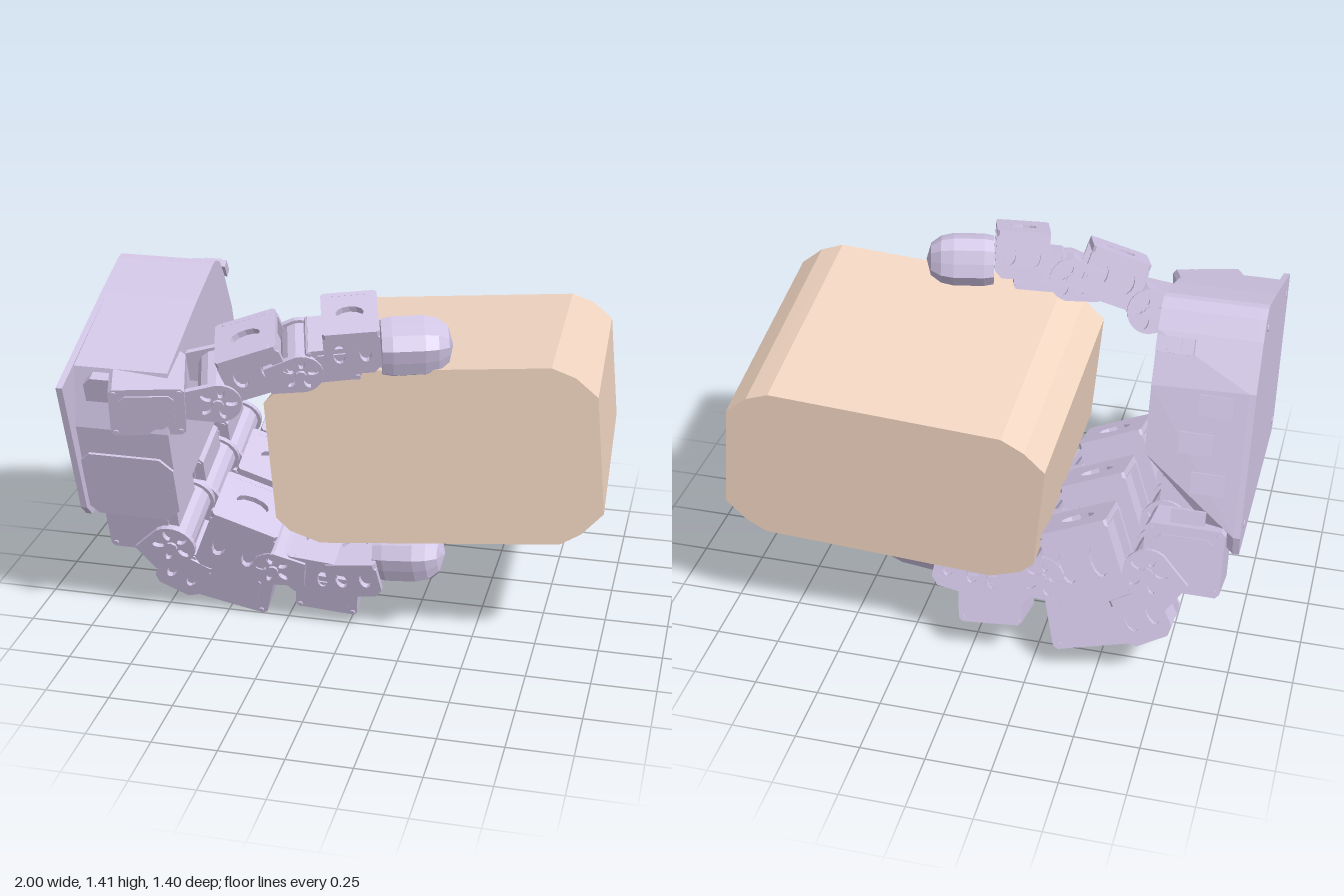
import * as THREE from 'three';
import { ConvexGeometry } from 'three/addons/geometries/ConvexGeometry.js';

const shell = new THREE.MeshStandardMaterial({ color: 0xd2c6e6, flatShading: true });
const tan = new THREE.MeshStandardMaterial({ color: 0xf2d6c2, flatShading: true });

function add(parent, name, geometry, material = shell) {
  const mesh = new THREE.Mesh(geometry, material);
  mesh.name = name;
  parent.add(mesh);
  return mesh;
}

function place(mesh, x, y, z = 0, rot = 0) {
  mesh.position.set(x, y, z);
  mesh.rotation.z = rot;
  return mesh;
}

// Rectangle with cut corners
function cutRect(w, h, c) {
  const a = w / 2, b = h / 2;
  return new THREE.Shape([[-a + c, -b], [a - c, -b], [a, -b + c], [a, b - c], [a - c, b],
    [-a + c, b], [-a, b - c], [-a, -b + c]].map(([x, y]) => new THREE.Vector2(x, y)));
}

// Solid extruded along z and centred on it
function slab(shape, depth) {
  return new THREE.ExtrudeGeometry(shape, { depth, bevelEnabled: false, curveSegments: 6 })
    .translate(0, 0, -depth / 2);
}

// Servo housing with a raised cover and screw heads on both sides
function motor(parent, name, x, y, w, h, d, rot = 0, z = 0) {
  const g = place(new THREE.Group(), x, y, z, rot);
  g.name = name;
  parent.add(g);
  add(g, 'housing', slab(cutRect(w, h, 0.015), d));
  add(g, 'cover', slab(cutRect(w * 0.72, h * 0.72, 0.02), d + 0.012));
  for (const sx of [-1, 1]) for (const sy of [-1, 1]) {
    const screw = add(g, 'screw', new THREE.CylinderGeometry(0.011, 0.011, d + 0.012, 8).rotateX(Math.PI / 2));
    screw.position.set(sx * w * 0.43, sy * h * 0.42, 0);
  }
}

// U-shaped bracket: two slotted side plates, a pierced web, and an inner core
function bracket(parent, name, x, y, w, h, d, rot = 0) {
  const g = place(new THREE.Group(), x, y, 0, rot);
  g.name = name;
  parent.add(g);
  const side = cutRect(w, h, 0.03);
  for (const s of [-1, 1]) {
    const slot = new THREE.Path();
    slot.absellipse(s * w * 0.23, 0, w * 0.11, h * 0.22, 0, Math.PI * 2);
    side.holes.push(slot);
  }
  for (const s of [-1, 1]) add(g, 'sidePlate', slab(side, 0.022)).position.z = s * (d / 2 - 0.011);
  const web = cutRect(w, d, 0.01);
  const hole = new THREE.Path();
  hole.absellipse(0, 0, w * 0.25, d * 0.15, 0, Math.PI * 2);
  web.holes.push(hole);
  add(g, 'web', slab(web, 0.025).rotateX(Math.PI / 2)).position.y = h / 2 - 0.013;
  add(g, 'core', new THREE.BoxGeometry(w * 0.8, h * 0.75, d * 0.7)).position.y = -h * 0.06;
}

// Pivot with a slotted horn at each end; its tail points along -x
function knuckle(parent, x, y, r, d, rot = 0) {
  const g = place(new THREE.Group(), x, y, 0, rot);
  g.name = 'knuckle';
  parent.add(g);
  add(g, 'axle', new THREE.CylinderGeometry(r * 0.85, r * 0.85, d - 0.04, 14).rotateX(Math.PI / 2));
  const horn = new THREE.Shape();
  horn.moveTo(-r * 1.5, -r * 0.7);
  horn.lineTo(0, -r);
  horn.absarc(0, 0, r, -Math.PI / 2, Math.PI / 2);
  horn.lineTo(-r * 1.5, r * 0.7);
  for (let i = 0; i < 5; i++) {
    const a = i * Math.PI * 0.4, hole = new THREE.Path();
    hole.absellipse(Math.cos(a) * r * 0.58, Math.sin(a) * r * 0.58, r * 0.26, r * 0.14, 0, Math.PI * 2, false, a);
    horn.holes.push(hole);
  }
  for (const s of [-1, 1]) {
    add(g, 'horn', slab(horn, 0.02)).position.z = s * (d / 2 - 0.01);
    add(g, 'hub', new THREE.CylinderGeometry(r * 0.25, r * 0.25, 0.03, 8).rotateX(Math.PI / 2))
      .position.z = s * (d / 2 - 0.005);
  }
}

// Faceted rubber fingertip along +x: a turned shape squared off towards its corners
function fingertip(parent, x, y, rot, z = 0) {
  const profile = [[0, 0], [0.09, 0], [0.097, 0.04], [0.097, 0.16], [0.087, 0.21], [0.06, 0.25], [0, 0.268]]
    .map(([r, h]) => new THREE.Vector2(r, h));
  const geo = new THREE.LatheGeometry(profile, 12).rotateZ(-Math.PI / 2);
  const p = geo.attributes.position;
  for (let i = 0; i < p.count; i++) {
    const a = Math.atan2(p.getZ(i), p.getY(i));
    const k = (Math.cos(a) ** 4 + Math.sin(a) ** 4) ** -0.25;
    p.setXYZ(i, p.getX(i), p.getY(i) * k, p.getZ(i) * k * 1.1);
  }
  place(add(parent, 'fingertip', geo), x, y, z, rot);
}

// Lower finger; its heights are measured from its pivot
function finger(z, lift) {
  const g = new THREE.Group();
  g.name = 'finger';
  g.position.set(0, 0.35 + lift, z);
  g.rotation.x = 0.3;
  motor(g, 'baseMotor', -0.8, 0.11, 0.3, 0.26, 0.22);
  knuckle(g, -0.68, 0.05, 0.095, 0.3, 0.6);
  bracket(g, 'baseBracket', -0.67, -0.14, 0.19, 0.2, 0.23, -0.5);
  motor(g, 'proximalMotor', -0.49, -0.18, 0.36, 0.22, 0.2, -0.25);
  bracket(g, 'proximalBracket', -0.43, 0.04, 0.27, 0.3, 0.25, -0.38);
  knuckle(g, -0.28, -0.04, 0.085, 0.26, Math.PI - 0.1);
  bracket(g, 'middleBracket', -0.13, -0.07, 0.2, 0.19, 0.24, -0.1);
  motor(g, 'distalMotor', -0.08, -0.17, 0.25, 0.19, 0.21, -0.08);
  bracket(g, 'distalBracket', 0.04, -0.06, 0.21, 0.17, 0.25, 0.15);
  fingertip(g, 0.12, -0.01, 0.1);
  return g;
}

// Opposing thumb above the block
function thumb() {
  const g = new THREE.Group();
  g.name = 'thumb';
  g.position.set(-0.1, 1.22, 0.345);
  g.rotation.set(0.3, 0.27, 0, 'YXZ');
  motor(g, 'baseMotor', -0.63, -0.16, 0.28, 0.22, 0.22, 0, 0.055);
  knuckle(g, -0.37, -0.16, 0.09, 0.25, 0.05);
  bracket(g, 'proximalBracket', -0.23, -0.03, 0.24, 0.2, 0.23, 0.35);
  knuckle(g, -0.06, -0.03, 0.085, 0.24, 0.25);
  motor(g, 'distalMotor', 0.06, 0.0, 0.2, 0.15, 0.21, 0.1);
  bracket(g, 'distalBracket', 0.13, 0.07, 0.21, 0.19, 0.25, 0.08);
  fingertip(g, 0.24, 0.025, 0.03, 0.03);
  return g;
}

// Side-on (z, y) outline extruded from x0 to x1
function sideSolid(points, x0, x1) {
  const shape = new THREE.Shape(points.map(([z, y]) => new THREE.Vector2(-z, y)));
  return new THREE.ExtrudeGeometry(shape, { depth: x1 - x0, bevelEnabled: false })
    .rotateY(Math.PI / 2).translate(x0, 0, 0);
}

function palm() {
  const g = new THREE.Group();
  g.name = 'palm';
  const crown = [[0.18, 1.31], [-0.03, 1.38], [-0.07, 1.385], [-0.12, 1.365], [-0.17, 1.3]];
  const back = [[-0.28, 1.14], [-0.46, 0.62], [-0.45, 0.54]];
  add(g, 'outerPlate', sideSolid([[0.7, 1.12], ...crown, ...back, [0.48, 0.5], [0.53, 0.55]], -1, -0.975));
  // Body: its underside rises towards the fingers, most of all at the back
  const front = [[0.57, 1.16], [0.59, 0.92], [0.55, 0.77]];
  const sections = [
    [-0.975, [...front, ...crown, ...back, [0.4, 0.51], [0.49, 0.56]]],
    [-0.72, [[0.45, 0.51]]],
    [-0.61, [...front, ...crown, [-0.27, 1.12], [-0.35, 0.87], [-0.2, 0.79], [0.38, 0.62], [0.5, 0.6]]],
  ];
  add(g, 'body', new ConvexGeometry(sections.flatMap(([x, pts]) => pts.map(([z, y]) => new THREE.Vector3(x, y, z)))));
  // Front panel below the thumb, with cut lower corners
  const panel = add(g, 'frontPanel', slab(cutRect(0.38, 0.3, 0.05), 0.1));
  panel.position.set(-0.8, 0.67, 0.48);
  panel.rotation.x = 0.28;
  // Mount carrying the thumb
  const mount = add(g, 'thumbMount', slab(cutRect(0.26, 0.24, 0.03), 0.1));
  mount.position.set(-0.8, 1.03, 0.53);
  mount.rotation.x = 0.3;
  // Shallow pads and the small latch on the back
  for (let i = 0; i < 4; i++) {
    const t = i / 3;
    const pad = add(g, 'backPad', new THREE.BoxGeometry(0.13, 0.08, 0.02));
    pad.position.set(-0.86 + (i % 2) * 0.06, 1.08 - 0.42 * t, -0.3 - 0.145 * t);
    pad.rotation.x = 0.33;
  }
  const latch = add(g, 'latchArm', new THREE.BoxGeometry(0.07, 0.045, 0.14));
  latch.position.set(-0.68, 1.27, -0.21);
  latch.rotation.x = 0.55;
  const latchTip = add(g, 'latchTip', new THREE.BoxGeometry(0.14, 0.06, 0.035));
  latchTip.position.set(-0.69, 1.29, -0.25);
  latchTip.rotation.x = 0.55;
  // Screws on the outer plate
  for (const [z, y] of [[0.6, 1.08], [0.45, 0.57], [-0.36, 0.62], [-0.06, 1.3]])
    add(g, 'plateScrew', new THREE.CylinderGeometry(0.014, 0.014, 0.01, 8).rotateZ(Math.PI / 2)).position.set(-0.998, y, z);
  return g;
}

// Held block: a cut-cornered outline, slightly smaller at the back
function block() {
  const outline = [[-0.3, 0.99], [-0.255, 0.52], [-0.2, 0.47], [-0.08, 0.43], [0.84, 0.51], [0.92, 0.56],
    [1, 0.65], [0.955, 1.11], [0.87, 1.18], [0.78, 1.212], [-0.13, 1.13], [-0.22, 1.075]];
  const points = [];
  for (const [x, y] of outline) {
    points.push(new THREE.Vector3(x, y, 0.405 - 0.034 * x - 0.04 * y));
    const bx = -0.3 + (x + 0.3) * 0.955, by = 0.415 + (y - 0.43) * 0.915;
    points.push(new THREE.Vector3(bx, by, -0.63 - 0.034 * bx - 0.04 * by));
  }
  return new ConvexGeometry(points);
}

export function createModel() {
  const model = new THREE.Group();
  model.name = 'grippingHand';
  add(model, 'heldBlock', block(), tan);
  model.add(palm(), thumb());
  [[0.25, 0], [-0.11, 0.03], [-0.46, 0.05]].forEach(([z, lift]) => model.add(finger(z, lift)));
  return model;
}
